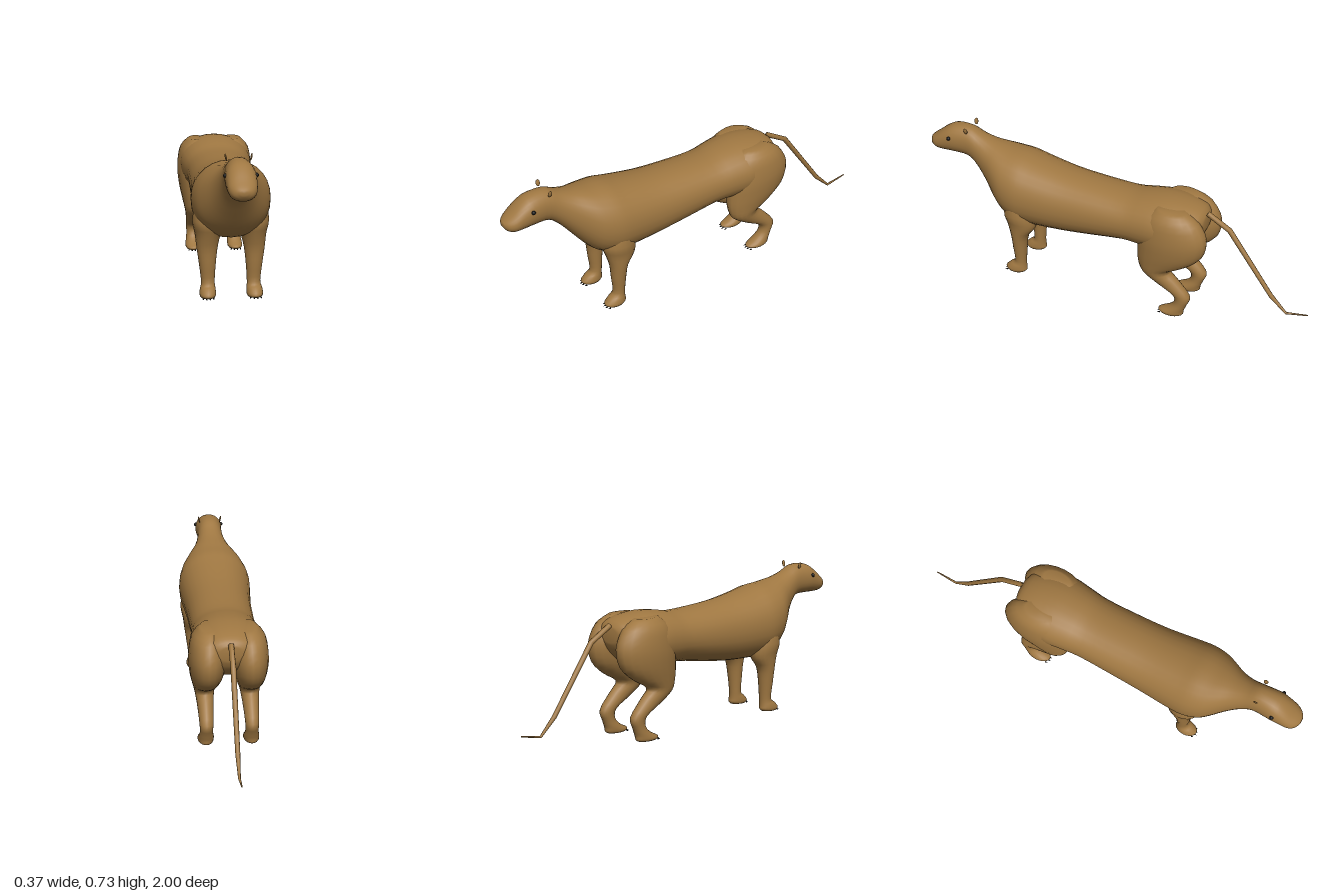
import * as THREE from 'three';

const coat = new THREE.MeshStandardMaterial({ color: 0xa07842 });
coat.name = 'tawny coat';
const dark = new THREE.MeshStandardMaterial({ color: 0x151515 });
dark.name = 'black';

// Smooth the list of rings by Catmull-Rom interpolation
function refine(rings, steps) {
  const out = [];
  for (let i = 0; i < rings.length - 1; i++) {
    const a = rings[Math.max(i - 1, 0)], b = rings[i];
    const c = rings[i + 1], d = rings[Math.min(i + 2, rings.length - 1)];
    for (let s = 0; s < steps; s++) {
      const t = s / steps;
      out.push(b.map((v, k) => v + 0.5 * t * (c[k] - a[k]
        + t * (2 * a[k] - 5 * v + 4 * c[k] - d[k] + t * (3 * (v - c[k]) + d[k] - a[k])))));
    }
  }
  out.push(rings[rings.length - 1]);
  return out;
}

// Skin over rings [z1, y1, z2, y2, centreX, halfWidth]; the two points are
// opposite ends of each ring in the side profile
function loft(name, rings, { sides = 20, steps = 3, power = 2 } = {}) {
  const list = refine(rings, steps);
  const pos = [], index = [];
  const soft = v => Math.sign(v) * Math.pow(Math.abs(v), 2 / power);
  for (const [z1, y1, z2, y2, x, w] of list) {
    for (let j = 0; j < sides; j++) {
      const a = (j / sides) * Math.PI * 2;
      const c = soft(Math.cos(a)), s = soft(Math.sin(a));
      pos.push(x + w * c, (y1 + y2) / 2 + s * (y2 - y1) / 2, (z1 + z2) / 2 + s * (z2 - z1) / 2);
    }
  }
  const last = list.length - 1;
  for (let i = 0; i < last; i++) {
    for (let j = 0; j < sides; j++) {
      const k = (j + 1) % sides, a = i * sides, b = a + sides;
      index.push(a + j, a + k, b + k, a + j, b + k, b + j);
    }
  }
  // End caps
  const tip = pos.length / 3;
  for (const [z1, y1, z2, y2, x] of [list[0], list[last]]) pos.push(x, (y1 + y2) / 2, (z1 + z2) / 2);
  for (let j = 0; j < sides; j++) {
    const k = (j + 1) % sides;
    index.push(tip, k, j, tip + 1, last * sides + j, last * sides + k);
  }
  const geo = new THREE.BufferGeometry();
  geo.setAttribute('position', new THREE.Float32BufferAttribute(pos, 3));
  geo.setIndex(index);
  geo.computeVertexNormals();
  const mesh = new THREE.Mesh(geo, coat);
  mesh.name = name;
  return mesh;
}

// Trunk, neck and head: z, bottom, top, half width
const TRUNK = [
  [-0.475, 0.47, 0.54, 0.05], [-0.45, 0.42, 0.57, 0.11], [-0.38, 0.36, 0.592, 0.155],
  [-0.28, 0.335, 0.6, 0.175], [-0.18, 0.33, 0.59, 0.165], [-0.08, 0.33, 0.575, 0.155],
  [0.1, 0.303, 0.582, 0.158], [0.25, 0.284, 0.595, 0.164], [0.4, 0.277, 0.62, 0.177],
  [0.48, 0.277, 0.638, 0.18], [0.55, 0.305, 0.645, 0.166], [0.6, 0.35, 0.653, 0.14],
  [0.66, 0.425, 0.665, 0.1], [0.72, 0.5, 0.685, 0.073], [0.78, 0.55, 0.712, 0.063],
  [0.86, 0.557, 0.71, 0.068], [0.91, 0.556, 0.686, 0.066], [0.955, 0.558, 0.65, 0.06],
  [0.985, 0.57, 0.627, 0.042], [1.0, 0.592, 0.613, 0.015],
];

// Legs from top to paw: back z, back y, front z, front y, centre x, half width
const FRONT_LEG = [
  [0.42, 0.46, 0.52, 0.46, 0.1, 0.06], [0.385, 0.36, 0.55, 0.36, 0.1, 0.075],
  [0.385, 0.29, 0.535, 0.3, 0.104, 0.06], [0.425, 0.23, 0.515, 0.23, 0.108, 0.048],
  [0.437, 0.15, 0.508, 0.15, 0.107, 0.038], [0.443, 0.07, 0.502, 0.07, 0.105, 0.031],
  [0.442, 0.035, 0.53, 0.045, 0.107, 0.036], [0.44, 0.018, 0.553, 0.02, 0.108, 0.038],
  [0.45, 0.007, 0.545, 0.007, 0.108, 0.034],
];
const HIND_LEG = [
  [-0.4, 0.582, -0.26, 0.585, 0.09, 0.04], [-0.468, 0.54, -0.2, 0.53, 0.095, 0.076],
  [-0.51, 0.455, -0.17, 0.43, 0.098, 0.088], [-0.49, 0.365, -0.165, 0.35, 0.1, 0.08],
  [-0.42, 0.3, -0.17, 0.28, 0.104, 0.063], [-0.335, 0.25, -0.195, 0.222, 0.107, 0.048],
  [-0.372, 0.205, -0.27, 0.17, 0.107, 0.039], [-0.44, 0.125, -0.352, 0.125, 0.107, 0.033],
  [-0.425, 0.07, -0.362, 0.08, 0.107, 0.031], [-0.412, 0.035, -0.33, 0.045, 0.107, 0.036],
  [-0.41, 0.015, -0.283, 0.02, 0.108, 0.038], [-0.4, 0.007, -0.29, 0.007, 0.108, 0.033],
];

// Tail: z, y, radius at each bend
const TAIL = [
  [-0.475, 0.552, 0.013], [-0.587, 0.488, 0.013], [-0.81, 0.178, 0.011],
  [-0.89, 0.1, 0.006], [-0.998, 0.121, 0.003],
];

function tailRings() {
  return TAIL.map(([z, y, r], i) => {
    const a = TAIL[Math.max(i - 1, 0)], b = TAIL[Math.min(i + 1, TAIL.length - 1)];
    const len = Math.hypot(b[0] - a[0], b[1] - a[1]);
    const dz = (b[0] - a[0]) / len * r, dy = (b[1] - a[1]) / len * r;
    return [z + dy, y - dz, z - dy, y + dz, 0, r];
  });
}

function part(name, geo, mat, x, y, z) {
  const mesh = new THREE.Mesh(geo, mat);
  mesh.name = name;
  mesh.position.set(x, y, z);
  return mesh;
}

export function createModel() {
  const group = new THREE.Group();
  group.name = 'bigCat';
  group.add(loft('body', TRUNK.map(([z, lo, hi, w]) => [z, lo, z, hi, 0, w]), { sides: 28, power: 2.15 }));
  group.add(loft('tail', tailRings(), { sides: 8, steps: 1 }));

  const eyeGeo = new THREE.SphereGeometry(0.01, 10, 8);
  const earGeo = new THREE.SphereGeometry(1, 10, 8).scale(0.004, 0.017, 0.011);
  const clawGeo = new THREE.ConeGeometry(0.004, 0.014, 6).rotateX(Math.PI / 2);

  for (const side of [1, -1]) {
    const label = side > 0 ? 'left' : 'right';
    const mirror = rings => rings.map(r => r.map((v, k) => (k === 4 ? v * side : v)));
    group.add(loft(label + 'FrontLeg', mirror(FRONT_LEG)));
    group.add(loft(label + 'HindLeg', mirror(HIND_LEG)));
    group.add(part(label + 'Eye', eyeGeo, dark, side * 0.066, 0.652, 0.873));

    const ear = part(label + 'Ear', earGeo, coat, side * 0.055, 0.711, 0.78);
    ear.rotation.z = -side * 0.2;
    group.add(ear);

    // Four claws along the front edge of each paw
    for (const [paw, z] of [['Front', 0.552], ['Hind', -0.282]]) {
      for (let i = 0; i < 4; i++) {
        const x = 0.108 + (i - 1.5) * 0.016;
        const back = Math.abs(i - 1.5) > 1 ? 0.008 : 0;
        group.add(part(label + paw + 'Claw', clawGeo, dark, side * x, 0.006, z - back));
      }
    }
  }
  return group;
}
